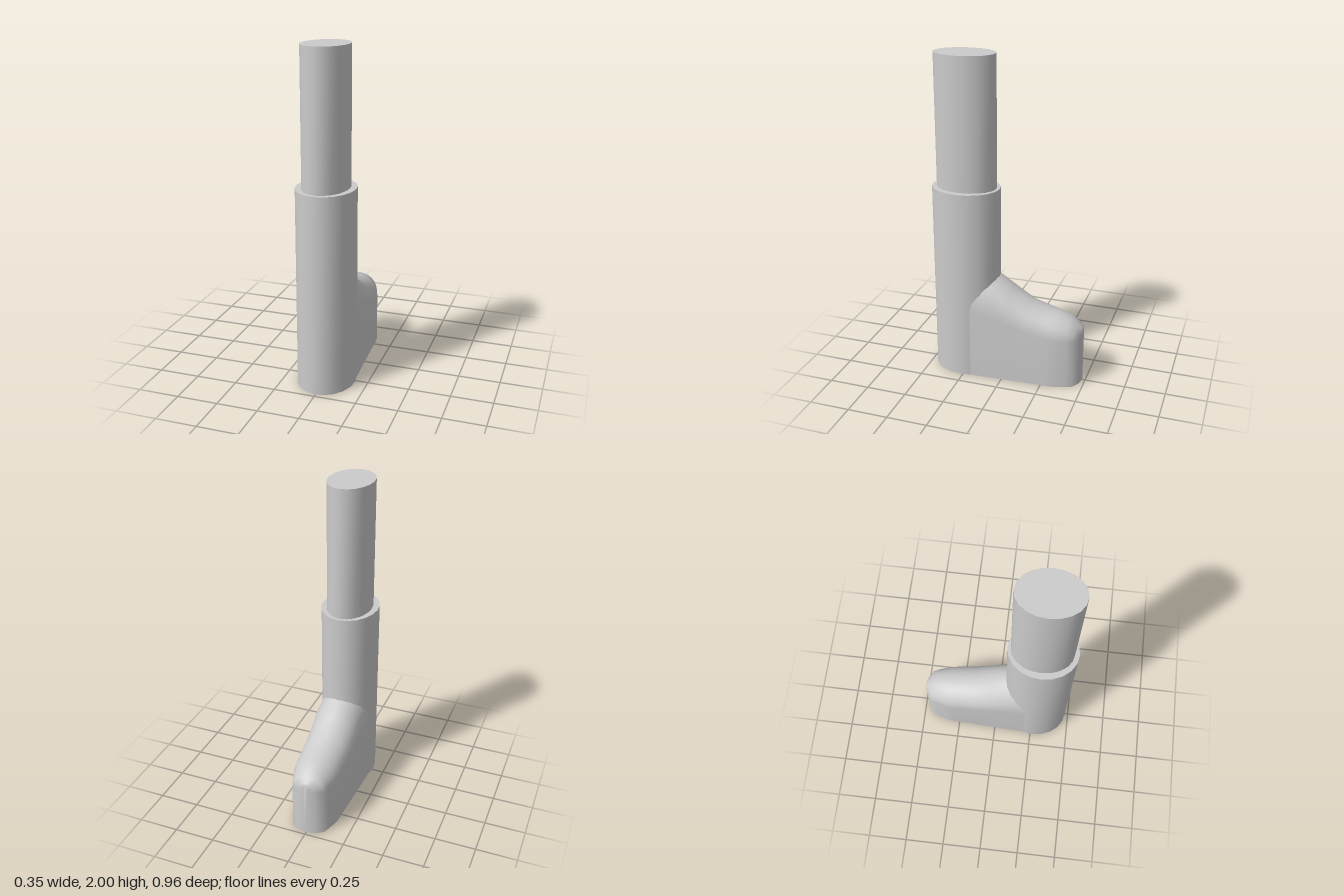
import * as THREE from 'three';
import { toCreasedNormals } from 'three/addons/utils/BufferGeometryUtils.js';

const material = new THREE.MeshStandardMaterial({ color: 0xcccccc });

// Upright elliptical post between two heights
function post(name, rx, rz, z, y0, y1) {
  const geometry = new THREE.CylinderGeometry(1, 1, y1 - y0, 20);
  geometry.scale(rx, 1, rz);
  const mesh = new THREE.Mesh(toCreasedNormals(geometry, 0.8), material);
  mesh.name = name;
  mesh.position.set(0, (y0 + y1) / 2, z);
  return mesh;
}

// Foot lofted from upright-sided, round-topped sections, heel to toe
function foot() {
  // z, half width, shoulder height, top height
  const sections = [
    [0.24, 0.166, 0.44, 0.70],
    [0.16, 0.163, 0.43, 0.68],
    [0.065, 0.159, 0.42, 0.64],
    [-0.04, 0.154, 0.38, 0.572],
    [-0.15, 0.149, 0.35, 0.50],
    [-0.28, 0.144, 0.32, 0.463],
    [-0.33, 0.139, 0.31, 0.449],
    [-0.40, 0.116, 0.31, 0.43],
    [-0.44, 0.102, 0.31, 0.395],
    [-0.47, 0.055, 0.31, 0.37],
    [-0.48, 0.012, 0.32, 0.36],
  ];
  const arcSteps = 14, n = arcSteps + 3;
  const positions = [], indices = [];
  for (const [z, w, shoulder, top] of sections) {
    positions.push(w, 0, z);
    for (let k = 0; k <= arcSteps; k++) {
      const a = (Math.PI * k) / arcSteps;
      positions.push(w * Math.cos(a), shoulder + (top - shoulder) * Math.sin(a), z);
    }
    positions.push(-w, 0, z);
  }
  for (let i = 0; i < sections.length - 1; i++) {
    for (let j = 0; j < n; j++) {
      const a = i * n + j, b = i * n + ((j + 1) % n);
      indices.push(a, a + n, b, b, a + n, b + n);
    }
  }
  // Toe cap
  const last = (sections.length - 1) * n;
  for (let j = 1; j < n - 1; j++) indices.push(last, last + j + 1, last + j);

  const geometry = new THREE.BufferGeometry();
  geometry.setAttribute('position', new THREE.Float32BufferAttribute(positions, 3));
  geometry.setIndex(indices);
  const mesh = new THREE.Mesh(toCreasedNormals(geometry, 0.8), material);
  mesh.name = 'foot';
  return mesh;
}

export function createModel() {
  const group = new THREE.Group();
  group.name = 'bootedLeg';
  group.add(
    post('bootShaft', 0.174, 0.21, 0.268, 0, 1.2),
    post('leg', 0.136, 0.186, 0.264, 1.2, 2),
    foot(),
  );
  return group;
}
